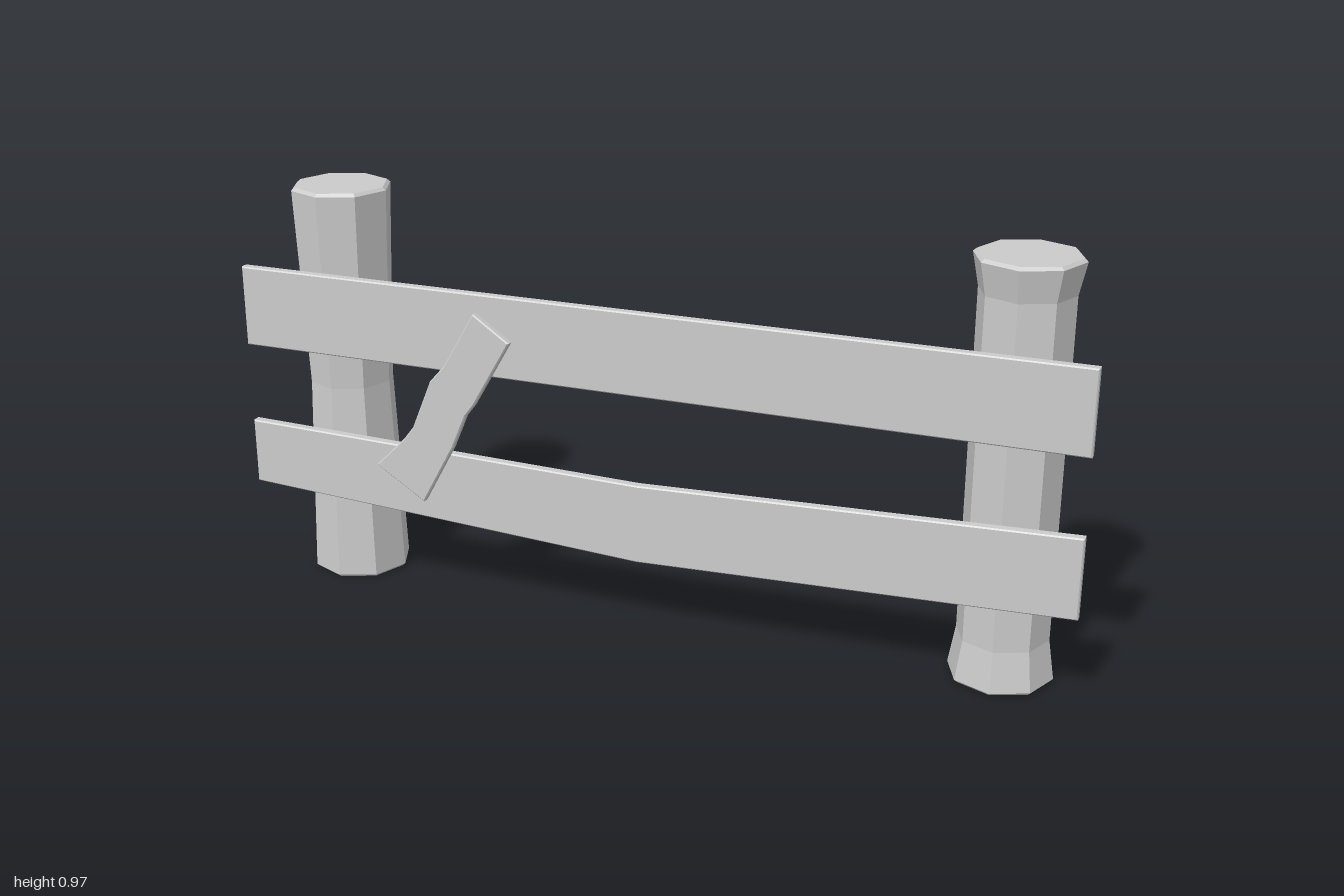
import * as THREE from 'three';

const material = new THREE.MeshStandardMaterial({ color: 0xcccccc, flatShading: true });
const vectors = (points) => points.map(([x, y]) => new THREE.Vector2(x, y));

// Octagonal post turned from [radius, height] rings, with lightly chamfered ends
function makePost(name, x, z, rings) {
  const height = 0.97;
  const end = rings[0][0];
  const profile = [
    [0, 0], [end - 0.008, 0], [end, 0.007],
    ...rings.slice(1, -1),
    [end, height - 0.007], [end - 0.008, height], [0, height],
  ];
  const post = new THREE.Mesh(new THREE.LatheGeometry(vectors(profile), 8), material);
  post.name = name;
  post.position.set(x, 0, z);
  return post;
}

// Flat plank cut from an outline, with a small bevel inside the given bounds
function makePlank(name, outline, zBack, zFront) {
  const bevel = 0.003;
  const geometry = new THREE.ExtrudeGeometry(new THREE.Shape(vectors(outline)), {
    depth: zFront - zBack - 2 * bevel,
    bevelEnabled: true,
    bevelThickness: bevel,
    bevelSize: bevel,
    bevelOffset: -bevel,
    bevelSegments: 1,
  });
  geometry.translate(0, 0, zBack + bevel);
  const plank = new THREE.Mesh(geometry, material);
  plank.name = name;
  return plank;
}

export function createModel() {
  const fence = new THREE.Group();
  fence.name = 'fence';

  // Posts: one with a gentle waist, one with a straight shaft and flared ends
  fence.add(
    makePost('rightPost', -0.8, -0.027, [[0.119, 0], [0.101, 0.49], [0.119, 0.97]]),
    makePost('leftPost', 0.822, -0.019, [[0.119, 0], [0.104, 0.1], [0.104, 0.89], [0.119, 0.97]]),
  );

  // Rails: a straight upper one and a sagging lower one
  fence.add(
    makePlank('upperRail', [[-1, 0.59], [1, 0.59], [1, 0.783], [-1, 0.783]], 0.089, 0.113),
    makePlank('lowerRail', [
      [-1, 0.238], [0, 0.187], [1, 0.223], [1, 0.411], [0, 0.376], [-1, 0.397],
    ], 0.089, 0.113),
  );

  // Crooked loose board across the front of the rails
  fence.add(makePlank('brace', [
    [-0.38, 0.747], [-0.459, 0.612], [-0.495, 0.572], [-0.545, 0.452], [-0.57, 0.42], [-0.645, 0.345],
    [-0.524, 0.268], [-0.443, 0.415], [-0.408, 0.497], [-0.385, 0.527], [-0.292, 0.687],
  ], 0.125, 0.145));

  return fence;
}
